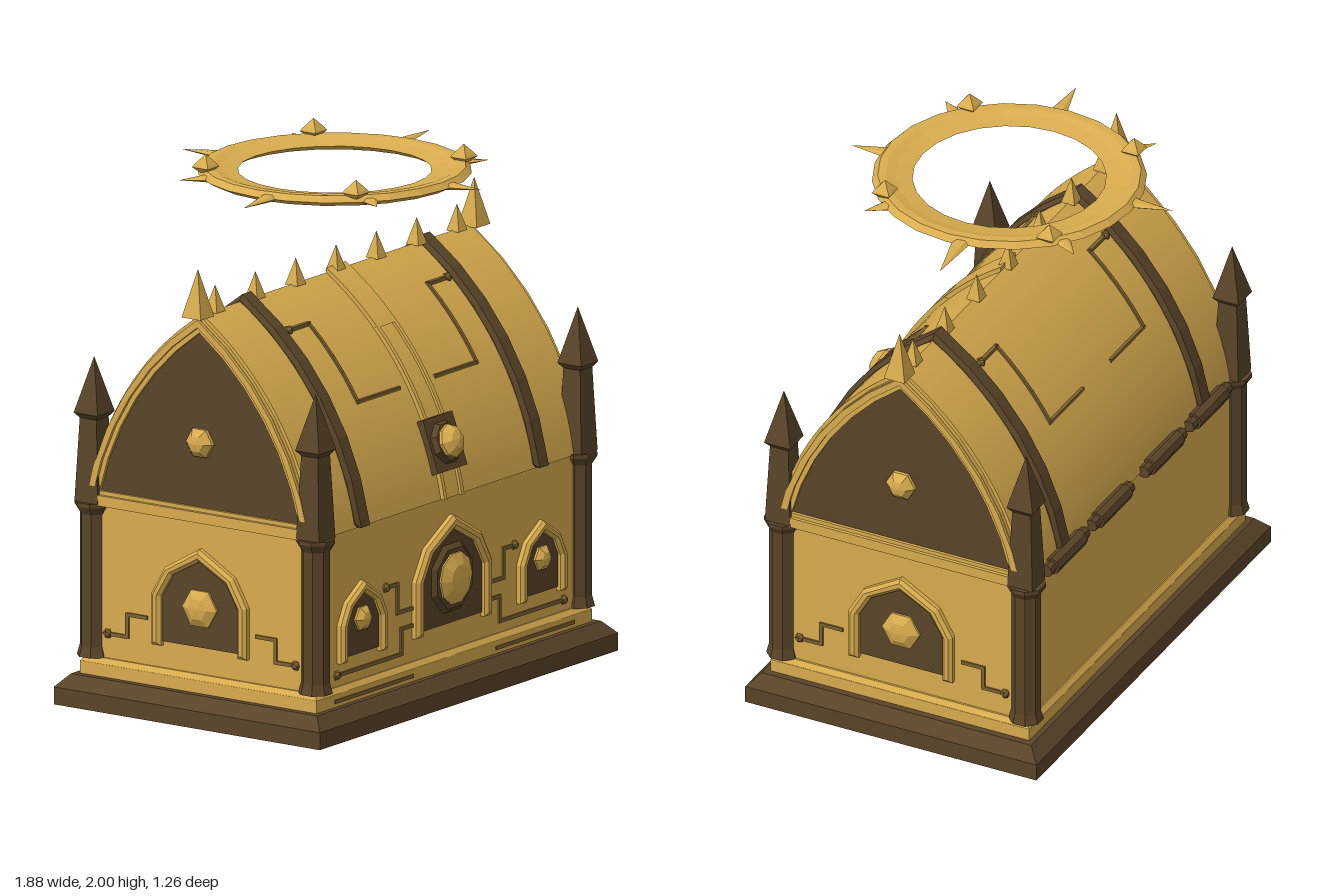
import * as THREE from 'three';
import { toCreasedNormals } from 'three/addons/utils/BufferGeometryUtils.js';

const mat = (color) => new THREE.MeshStandardMaterial({ color, flatShading: true });
const GOLD = mat(0xd9ac4e), DARK = mat(0x594428), LINE = mat(0x7d6331);
const SMOOTH_GOLD = new THREE.MeshStandardMaterial({ color: 0xd9ac4e });
const V2 = (x, y) => new THREE.Vector2(x, y);
const V3 = (x, y, z) => new THREE.Vector3(x, y, z);

function add(parent, name, geo, material, x = 0, y = 0, z = 0) {
  const m = new THREE.Mesh(geo, material);
  m.name = name;
  m.position.set(x, y, z);
  parent.add(m);
  return m;
}

// Box whose top face is drawn in by an inset
function tier(hx, hz, h, inset) {
  const g = new THREE.BoxGeometry(hx * 2, h, hz * 2).translate(0, h / 2, 0);
  const p = g.attributes.position;
  for (let i = 0; i < p.count; i++) if (p.getY(i) > 0.001) {
    p.setX(i, p.getX(i) * (hx - inset) / hx);
    p.setZ(i, p.getZ(i) * (hz - inset) / hz);
  }
  return g;
}

// Turned solid with n flat sides, one side facing the front
function turned(pts, n) {
  return new THREE.LatheGeometry(pts.map(([r, y]) => V2(r / Math.cos(Math.PI / n), y)), n, Math.PI / n);
}

// Faceted stone facing +z
function gem(parent, x, y, z, r, n, depth) {
  const pts = [[r, 0], [r, depth * 0.3], [r * 0.55, depth * 0.85], [0, depth]].map(([a, b]) => V2(a, b));
  return add(parent, 'gem', new THREE.LatheGeometry(pts, n, Math.PI / 2).rotateX(Math.PI / 2), GOLD, x, y, z);
}

// Square bars along a path, with an optional round stud at its start
function inlay(parent, pts, stud = true, w = 0.014) {
  for (let i = 1; i < pts.length; i++) {
    const dir = pts[i].clone().sub(pts[i - 1]), len = dir.length();
    const mid = pts[i - 1].clone().lerp(pts[i], 0.5);
    const bar = add(parent, 'inlayLine', new THREE.BoxGeometry(w, w, len + w * 0.8), LINE, mid.x, mid.y, mid.z);
    bar.quaternion.setFromUnitVectors(V3(0, 0, 1), dir.normalize());
  }
  if (stud) add(parent, 'inlayStud', new THREE.IcosahedronGeometry(0.02, 0), LINE, pts[0].x, pts[0].y, pts[0].z);
}

// Pointed niche with frame, dark panel and stone, facing +z
function niche(parent, x, y, w, h, t, gemY, gemR, sides) {
  const g = new THREE.Group();
  g.name = 'niche';
  g.position.set(x, y, 0);
  parent.add(g);
  const loop = (k) => {
    const r = [[w - k, 0], [w - k, h * 0.5 - k * 0.2], [w * 0.72 - k * 0.8, h * 0.77 - k * 0.6], [0, h - k * 1.15]];
    return [...r, ...r.slice(0, -1).reverse().map(([a, b]) => [-a, b])].map(([a, b]) => V2(a, b));
  };
  const outer = loop(0), inner = loop(t);
  add(g, 'nichePanel', new THREE.ExtrudeGeometry(new THREE.Shape(inner), { depth: 0.008, bevelEnabled: false }), DARK, 0, 0.016, 0);
  const b = t * 0.3;
  add(g, 'nicheFrame', new THREE.ExtrudeGeometry(new THREE.Shape([...outer, ...inner.reverse()]),
    { depth: 0.018, bevelThickness: 0.012, bevelSize: b, bevelOffset: -b, bevelSegments: 1 }), GOLD);
  const set = sides > 6;
  if (set) add(g, 'gemSetting', new THREE.CylinderGeometry(gemR * 1.2, gemR * 1.38, 0.016, 8, 1, false, Math.PI / 8)
    .rotateX(Math.PI / 2), DARK, 0, gemY - y, 0.016);
  gem(g, 0, gemY - y, set ? 0.02 : 0.006, gemR, sides, set ? 0.036 : 0.034);
}

// Pointed lid section: two arcs about centres beyond the middle, cut off at BASE
const BASE = 0.76, CX = -0.641, CY = 0.555, RAD = 1.179;
const arc = (off, n, y0 = BASE, y1 = 2) => {
  const r = RAD + off, angle = (y) => Math.asin(Math.min(1, (y - CY) / r));
  const a0 = angle(y0), a1 = Math.min(Math.acos(-CX / r), angle(y1));
  return Array.from({ length: n + 1 }, (_, i) => {
    const a = a0 + (a1 - a0) * i / n;
    return V2(CX + r * Math.cos(a), CY + r * Math.sin(a));
  });
};
const vault = (off, n, y0) => {
  const r = arc(off, n, y0);
  return [...r, ...r.slice(0, -1).reverse().map((p) => V2(-p.x, p.y))];
};
// Lid sections are extruded across x; their +x then runs toward +z
const slab = (pts, width, opts = { bevelEnabled: false }, hole) => {
  const s = new THREE.Shape(pts);
  if (hole) s.holes.push(new THREE.Path(hole));
  return new THREE.ExtrudeGeometry(s, { depth: width, ...opts }).translate(0, 0, -width / 2).rotateY(-Math.PI / 2);
};
const onLid = (x, y, side) => V3(x, y, side * (CX + Math.sqrt(RAD ** 2 - (y - CY) ** 2)));

export function createModel() {
  const root = new THREE.Group();
  root.name = 'chest';
  const chest = new THREE.Group();
  chest.name = 'chestBody';
  chest.position.z = 0.012;
  root.add(chest);

  // Plinth with a shallow recess beneath, and box
  const rect = (x, z) => [V2(-x, -z), V2(x, -z), V2(x, z), V2(-x, z)];
  const rim = new THREE.Shape(rect(0.94, 0.602));
  rim.holes.push(new THREE.Path(rect(0.88, 0.542)));
  add(chest, 'plinthRim', new THREE.ExtrudeGeometry(rim, { depth: 0.014, bevelEnabled: false }).rotateX(-Math.PI / 2), DARK);
  add(chest, 'plinth', tier(0.94, 0.602, 0.052, 0), DARK, 0, 0.014);
  add(chest, 'plinthBevel', tier(0.94, 0.602, 0.048, 0.045), DARK, 0, 0.066);
  add(chest, 'baseStep', tier(0.868, 0.535, 0.05, 0), GOLD, 0, 0.112);
  add(chest, 'baseStepBevel', tier(0.868, 0.535, 0.022, 0.015), GOLD, 0, 0.16);
  add(chest, 'box', new THREE.BoxGeometry(1.69, 0.59, 1.03), GOLD, 0, 0.468, 0);

  // Corner pillars
  for (const sx of [-1, 1]) for (const sz of [-1, 1]) {
    const p = new THREE.Group();
    p.name = 'cornerPillar';
    p.position.set(sx * 0.826, 0, sz * 0.501);
    chest.add(p);
    add(p, 'pillarShaft', turned([[0, 0.18], [0.06, 0.18], [0.05, 0.22], [0.05, 0.72], [0.068, 0.75], [0.068, 0.765], [0, 0.765]], 8), DARK);
    add(p, 'pillarSpire', turned([[0.052, 0.765], [0.038, 1.08], [0.054, 1.1], [0, 1.31]], 4), DARK);
  }

  // Front wall decoration
  const front = new THREE.Group();
  front.name = 'frontWall';
  front.position.z = 0.515;
  chest.add(front);
  niche(front, 0, 0.268, 0.238, 0.425, 0.046, 0.455, 0.1, 10);
  for (const s of [-1, 1]) {
    niche(front, s * 0.565, 0.268, 0.145, 0.29, 0.038, 0.415, 0.05, 6);
    const path = (...xy) => xy.map(([x, y]) => V3(s * x, y, 0));
    inlay(front, path([0.405, 0.495], [0.335, 0.495], [0.335, 0.385], [0.22, 0.385]));
    inlay(front, path([0.715, 0.225], [0.31, 0.225], [0.31, 0.32], [0.22, 0.32]));
    inlay(front, path([0.75, 0.135], [0.265, 0.135]).map((p) => p.setZ(0.017)), false);
  }

  // End walls, lid gables and their stones
  for (const s of [-1, 1]) {
    const end = new THREE.Group();
    end.name = 'endWall';
    end.rotation.y = s * Math.PI / 2;
    end.position.x = s * 0.845;
    chest.add(end);
    niche(end, 0, 0.268, 0.215, 0.39, 0.042, 0.432, 0.078, 6);
    for (const d of [-1, 1])
      inlay(end, [[0.425, 0.275], [0.335, 0.275], [0.335, 0.36], [0.25, 0.36]].map(([x, y]) => V3(d * x, y, 0)));
    gem(end, 0, 1.06, 0.005, 0.06, 6, 0.045);
    add(chest, 'gablePanel', slab(vault(-0.03, 6), 0.016), DARK, s * 0.842);
    add(chest, 'gableInnerTrim', slab(vault(-0.012, 6), 0.024, undefined, vault(-0.056, 6, 0.815)), GOLD, s * 0.85);
    add(chest, 'gableOuterTrim', slab(vault(-0.014, 6), 0.04, undefined, vault(-0.038, 6, 0.8)), GOLD, s * 0.855);
    add(chest, 'gableSpike', turned([[0, 0], [0.043, 0], [0, 0.18]], 4), GOLD, s * 0.87, 1.54);
  }

  // Vaulted lid, straps and ridge spikes
  add(chest, 'lid', toCreasedNormals(slab(vault(0, 18), 1.69), 0.5), SMOOTH_GOLD);
  for (const s of [-1, 1])
    add(chest, 'lidStrap', slab(vault(0.004, 6, 0.776), 0.056, { bevelThickness: 0.014, bevelSize: 0.016, bevelSegments: 1 }), DARK, s * 0.563);
  for (let i = -3; i <= 3; i++)
    add(chest, 'ridgeSpike', turned([[0, 0], [0.028, 0], [0, 0.1]], 4), GOLD, i * 0.254, 1.54);

  // Central front strap with cap and side rails
  const strap = (name, off, y0, y1, w, x) => add(chest, name, toCreasedNormals(
    slab([...arc(off, 12, y0, y1), ...arc(-0.03, 12, y0, y1).reverse()], w), 0.5), SMOOTH_GOLD, x);
  strap('centreStrap', 0.006, BASE, 2, 0.12, 0);
  strap('centreStrapCap', 0.016, 1.37, 2, 0.124, 0);
  for (const s of [-1, 1]) strap('centreStrapRail', 0.016, BASE, 1.37, 0.018, s * 0.054);

  // Lock plate lying against the lid
  const lock = new THREE.Group();
  lock.name = 'lock';
  lock.position.copy(onLid(0.002, 0.952, 1));
  lock.rotation.x = -Math.asin((0.952 - CY) / RAD);
  chest.add(lock);
  add(lock, 'lockPlate', new THREE.BoxGeometry(0.185, 0.205, 0.05), DARK);
  add(lock, 'lockSetting', new THREE.CylinderGeometry(0.073, 0.085, 0.024, 8, 1, false, Math.PI / 8).rotateX(Math.PI / 2), DARK, 0, 0, 0.035);
  gem(lock, 0, 0, 0.045, 0.064, 8, 0.05);

  // Inlay on both slopes of the lid
  for (const side of [-1, 1]) for (const s of [-1, 1]) {
    const pts = [onLid(s * 0.5, 1.435, side)];
    for (let i = 0; i <= 5; i++) pts.push(onLid(s * 0.375, 1.435 - 0.265 * i / 5, side));
    pts.push(onLid(s * 0.115, 1.17, side));
    inlay(chest, pts);
  }

  // Hinges along the back
  for (const x of [-0.57, -0.21, 0.21, 0.57]) {
    const h = new THREE.Group();
    h.name = 'hinge';
    h.position.set(x, 0.765, -0.532);
    chest.add(h);
    add(h, 'hingePin', new THREE.CylinderGeometry(0.024, 0.024, 0.31, 8).rotateZ(Math.PI / 2), DARK);
    add(h, 'hingeBarrel', new THREE.CylinderGeometry(0.034, 0.034, 0.23, 8).rotateZ(Math.PI / 2), DARK);
  }

  // Floating halo with outward spikes and upright studs
  const halo = new THREE.Group();
  halo.name = 'halo';
  halo.position.set(0, 1.92, 0.006);
  root.add(halo);
  const ring = [[0.357, 0.002], [0.39, -0.018], [0.47, -0.02], [0.506, 0], [0.485, 0.022], [0.455, 0.022], [0.42, 0.012], [0.357, 0.002]];
  add(halo, 'haloRing', new THREE.LatheGeometry(ring.map(([r, y]) => V2(r, y)), 24), GOLD);
  const reach = [0.706, 0.59, 0.645, 0.592, 0.676, 0.585, 0.624, 0.587];
  reach.forEach((r, i) => {
    const len = r - 0.47;
    const spike = add(halo, 'haloSpike', new THREE.ConeGeometry(0.038, len, 6).rotateZ(-Math.PI / 2)
      .translate(0.47 + len / 2, 0, 0).scale(1, 0.4, 1), GOLD);
    spike.rotation.y = (6 + 45 * i) * Math.PI / 180;
  });
  for (const sx of [-1, 1]) for (const sz of [-1, 1])
    add(halo, 'haloStud', turned([[0.016, 0.012], [0.036, 0.032], [0.03, 0.042], [0, 0.08]], 4), GOLD, sx * 0.34, 0, sz * 0.34);
  return root;
}
